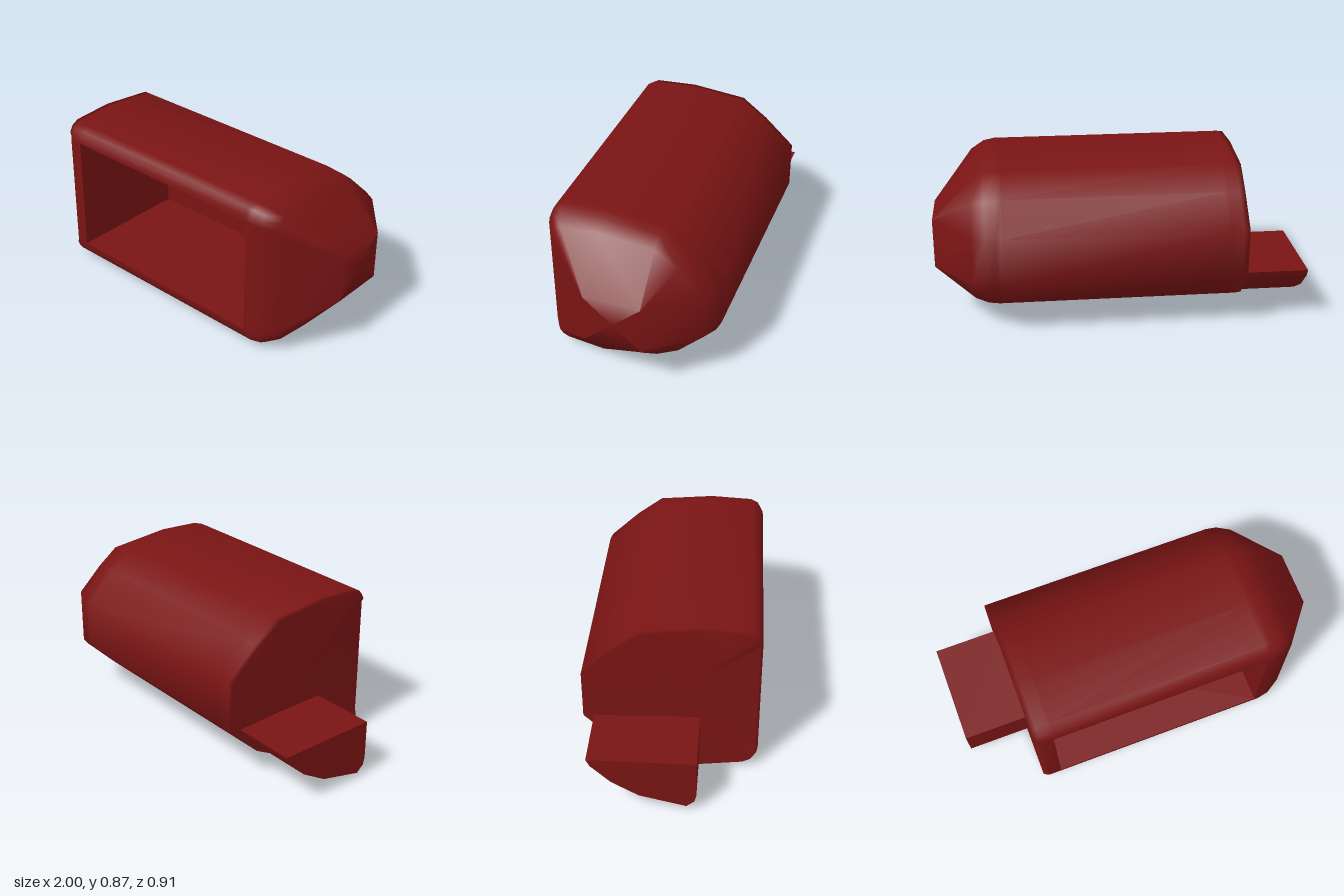
import * as THREE from 'three';

// Cross-section [z, y], counter-clockwise seen from +x; the pair at FRONT is the flat front wall
const SECTION = [
  [-0.455, 0.58], [-0.29, 0.735], [-0.15, 0.84], [0.15, 0.87], [0.39, 0.857], [0.43, 0.835], [0.45, 0.8],
  [0.455, 0.77], [0.455, 0.12],
  [0.45, 0.08], [0.43, 0.05], [0.39, 0.03], [0.15, 0], [-0.15, 0.07], [-0.29, 0.145], [-0.455, 0.31],
];
const FRONT = 7;
const CAVITY = { x0: -0.56, x1: 0.63, y0: 0.12, y1: 0.77, z0: -0.22, z1: 0.455 };

// Skins a list of rings of [x, y, z] points and closes both ends with fans
function loft(rings, endCentres, skip = () => false) {
  const n = rings[0].length, pos = rings.flat(2), index = [];
  for (let i = 0; i < rings.length - 1; i++) {
    for (let j = 0; j < n; j++) {
      if (skip(i, j)) continue;
      const a = i * n + j, b = i * n + (j + 1) % n;
      index.push(a, b, a + n, b, b + n, a + n);
    }
  }
  const first = rings.length * n, last = (rings.length - 1) * n;
  pos.push(...endCentres.flat());
  for (let j = 0; j < n; j++) {
    const k = (j + 1) % n;
    index.push(first, k, j, first + 1, last + j, last + k);
  }
  const g = new THREE.BufferGeometry();
  g.setAttribute('position', new THREE.Float32BufferAttribute(pos, 3));
  g.setIndex(index);
  g.computeVertexNormals();
  return g;
}

// Body ring at x, shrunk by t towards the small rectangular nose end
function bodyRing(x, t) {
  const { lerp, clamp } = THREE.MathUtils;
  return SECTION.map(([z, y]) => [x, lerp(y, clamp(y, 0.31, 0.58), t), lerp(z, clamp(z, -0.15, 0.15), t)]);
}

function bodyGeometry() {
  // Blunt end with a softened front edge
  const blunt = bodyRing(-0.66, 0).map(([x, y, z], j) => {
    const wall = j === FRONT || j === FRONT + 1;
    return [wall ? -0.64 : x, y, z > 0.3 ? z - 0.015 : z];
  });
  const stations = [[-0.63, 0], [CAVITY.x0, 0], [CAVITY.x1, 0], [0.66, 0], [0.72, 0.035], [0.79, 0.17], [1, 1]];
  const rings = [blunt, ...stations.map(([x, t]) => bodyRing(x, t))];
  // Leave the opening of the cavity free in the front wall
  return loft(rings, [[-0.635, 0.44, 0], [1, 0.445, 0]], (i, j) => i === 2 && j === FRONT);
}

// Five-sided box seen from the inside
function cavityGeometry() {
  const { x0, x1, y0, y1, z0, z1 } = CAVITY;
  const g = new THREE.BoxGeometry(x1 - x0, y1 - y0, z1 - z0);
  g.translate((x0 + x1) / 2, (y0 + y1) / 2, (z0 + z1) / 2);
  const ids = Array.from(g.index.array);
  ids.splice(24, 6); // drop the front face
  g.clearGroups();
  g.setIndex(ids.reverse());
  g.computeVertexNormals();
  return g;
}

// Short tab on the blunt end, following the underside of the body
function tabGeometry() {
  const profile = [
    [-0.4, 0.31], [0.15, 0.31], [0.15, 0.1], [0.14, 0.06], [0.1, 0.025],
    [-0.14, 0.085], [-0.28, 0.17], [-0.38, 0.27],
  ];
  const rings = [-1, -0.6].map((x) => profile.map(([z, y]) => [x, y, z]));
  return loft(rings, [[-1, 0.2, -0.05], [-0.6, 0.2, -0.05]]).toNonIndexed();
}

export function createModel() {
  const group = new THREE.Group();
  const material = new THREE.MeshStandardMaterial({ color: 0x7a1414 });
  const add = (name, geometry) => {
    const mesh = new THREE.Mesh(geometry, material);
    mesh.name = name;
    group.add(mesh);
  };
  add('body', bodyGeometry());
  add('cavity', cavityGeometry());
  const tab = tabGeometry();
  tab.computeVertexNormals(); // flat facets
  add('endTab', tab);
  return group;
}
